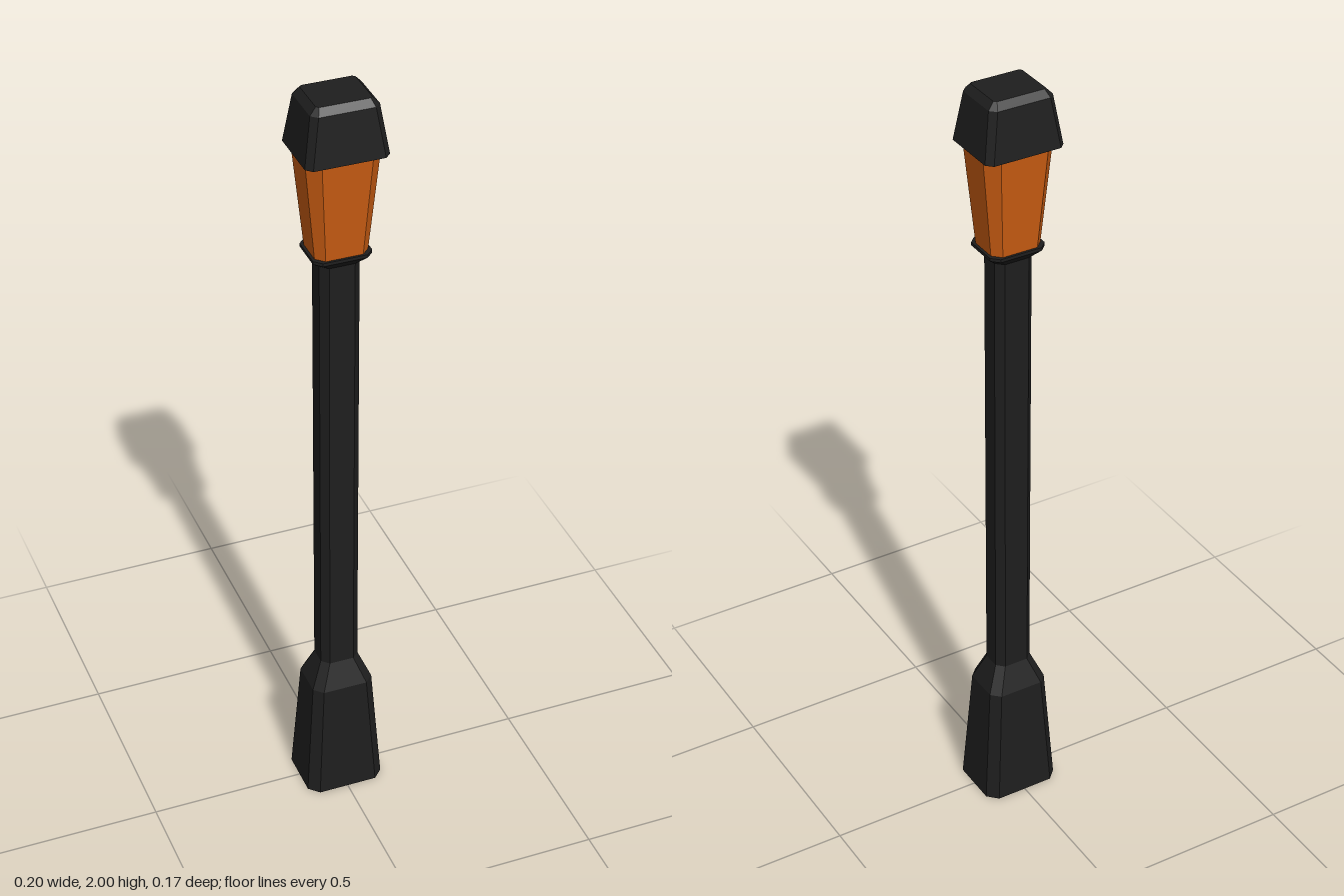
import * as THREE from 'three';

// Rectangle with cut corners: half width w, half depth d, corner cut c, at height y
function ring([y, w, d, c]) {
  return [
    [w, d - c], [w - c, d], [c - w, d], [-w, d - c],
    [-w, c - d], [c - w, -d], [w - c, -d], [w, c - d],
  ].map(([x, z]) => [x, y, z]);
}

// Closed solid through a stack of rings, listed bottom to top
function loft(name, color, levels) {
  const rings = levels.map(ring);
  const pos = [];
  const tri = (...pts) => pts.forEach((p) => pos.push(...p));
  for (let k = 0; k < rings.length - 1; k++) {
    const lo = rings[k], hi = rings[k + 1];
    for (let i = 0; i < 8; i++) {
      const j = (i + 1) % 8;
      tri(lo[i], hi[i], lo[j]);
      tri(lo[j], hi[i], hi[j]);
    }
  }
  const bottom = rings[0], top = rings[rings.length - 1];
  for (let i = 1; i < 7; i++) {
    tri(bottom[0], bottom[i], bottom[i + 1]);
    tri(top[0], top[i + 1], top[i]);
  }
  const geo = new THREE.BufferGeometry();
  geo.setAttribute('position', new THREE.Float32BufferAttribute(pos, 3));
  geo.computeVertexNormals();
  const mesh = new THREE.Mesh(geo, new THREE.MeshStandardMaterial({ color, flatShading: true }));
  mesh.name = name;
  return mesh;
}

export function createModel() {
  const group = new THREE.Group();
  group.name = 'lampPost';
  const dark = 0x1e1e1e, amber = 0xc85c12;

  group.add(
    // flared foot
    loft('base', dark, [
      [0, 0.102, 0.086, 0.025],
      [0.32, 0.08, 0.067, 0.022],
      [0.39, 0.05, 0.041, 0.018],
    ]),
    // straight shaft
    loft('pole', dark, [
      [0.39, 0.05, 0.041, 0.018],
      [1.575, 0.05, 0.041, 0.018],
    ]),
    // collar under the lamp
    loft('collar', dark, [
      [1.57, 0.05, 0.041, 0.018],
      [1.592, 0.073, 0.061, 0.018],
      [1.6, 0.073, 0.061, 0.018],
    ]),
    // glowing glass
    loft('lampGlass', amber, [
      [1.6, 0.066, 0.055, 0.02],
      [1.865, 0.092, 0.075, 0.03],
    ]),
    // roof with bevelled top edge
    loft('cap', dark, [
      [1.86, 0.102, 0.087, 0.015],
      [1.983, 0.083, 0.071, 0.015],
      [2, 0.067, 0.056, 0.006],
    ]),
  );
  return group;
}
